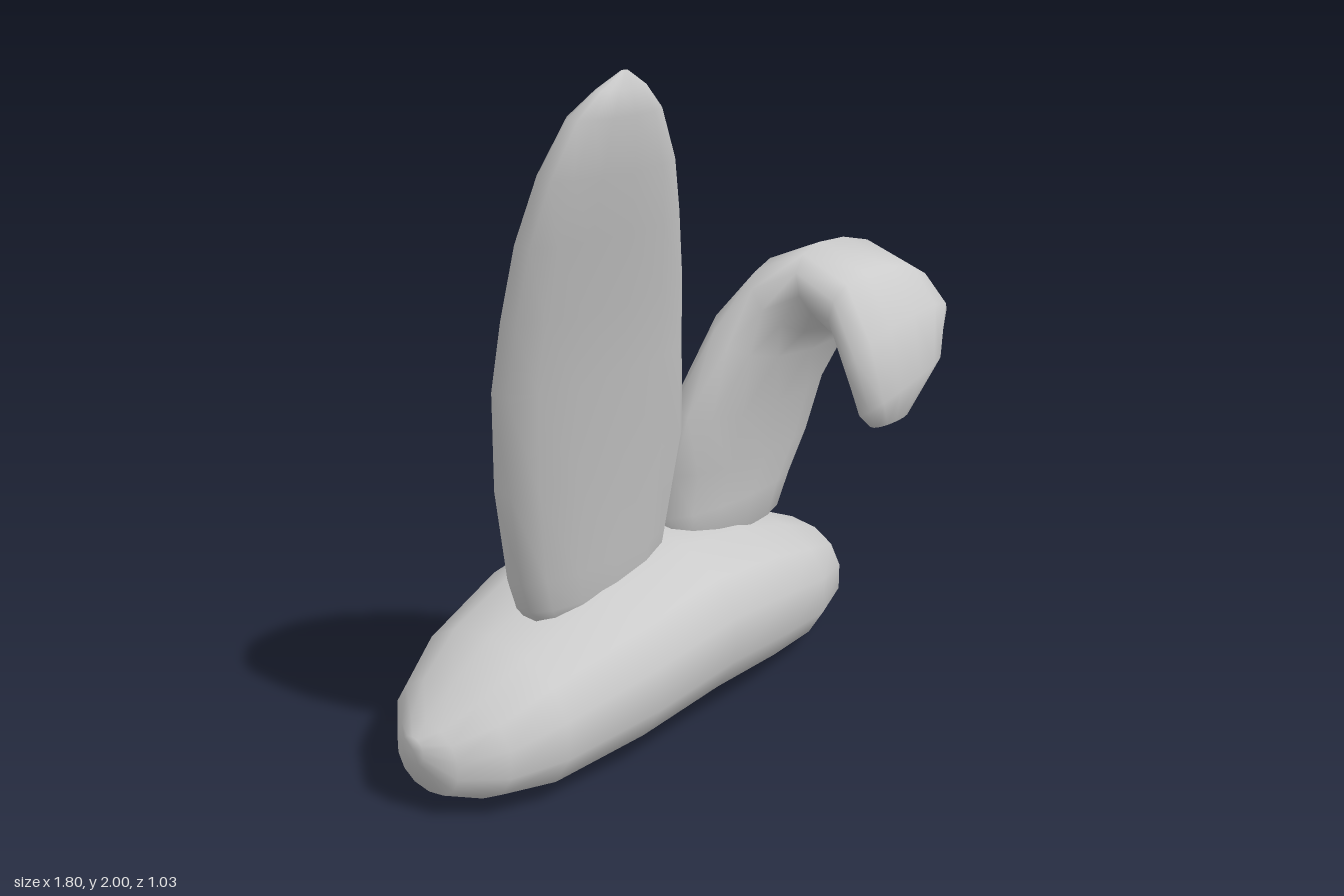
import * as THREE from 'three';

const SIDES = 14;

// Superellipse sections joined into a closed, smooth skin.
// Each section has a centre c and two half-axes u and v, with u x v pointing along the loft.
function loft(name, sections, power = 0.9) {
  const pos = [], index = [];
  const soften = (t) => Math.sign(t) * Math.pow(Math.abs(t), power);
  for (const { c, u, v } of sections) {
    for (let j = 0; j < SIDES; j++) {
      const a = (j / SIDES) * Math.PI * 2;
      const p = c.clone().addScaledVector(u, soften(Math.cos(a))).addScaledVector(v, soften(Math.sin(a)));
      pos.push(p.x, p.y, p.z);
    }
  }
  const n = sections.length;
  for (let i = 0; i < n - 1; i++) {
    for (let j = 0; j < SIDES; j++) {
      const k = (j + 1) % SIDES;
      const a = i * SIDES + j, b = i * SIDES + k;
      index.push(a, b, a + SIDES, b, b + SIDES, a + SIDES);
    }
  }
  // Cap both ends with a fan
  const first = n * SIDES, last = first + 1, top = (n - 1) * SIDES;
  for (const s of [sections[0], sections[n - 1]]) pos.push(s.c.x, s.c.y, s.c.z);
  for (let j = 0; j < SIDES; j++) {
    const k = (j + 1) % SIDES;
    index.push(first, k, j, last, top + j, top + k);
  }
  const geo = new THREE.BufferGeometry();
  geo.setAttribute('position', new THREE.Float32BufferAttribute(pos, 3));
  geo.setIndex(index);
  geo.computeVertexNormals();
  const mesh = new THREE.Mesh(geo, new THREE.MeshStandardMaterial({ color: 0xcccccc }));
  mesh.name = name;
  return mesh;
}

const V = (x, y, z) => new THREE.Vector3(x, y, z);

export function createModel() {
  const group = new THREE.Group();
  group.name = 'earsOnPad';

  // Cushion lying along x: x, bottom, top, back, front
  const cushion = [
    [-0.9, 0.17, 0.25, -0.2, -0.12],
    [-0.86, 0.07, 0.28, -0.27, -0.03],
    [-0.77, 0.035, 0.35, -0.37, 0.08],
    [-0.62, 0.005, 0.44, -0.44, 0.15],
    [-0.32, 0.025, 0.53, -0.505, 0.22],
    [0, 0.045, 0.575, -0.52, 0.235],
    [0.3, 0.03, 0.53, -0.505, 0.215],
    [0.55, 0.01, 0.45, -0.455, 0.16],
    [0.78, 0.025, 0.35, -0.34, 0.06],
    [0.85, 0.08, 0.25, -0.27, 0],
    [0.9, 0.14, 0.18, -0.23, -0.17],
  ].map(([x, y0, y1, z0, z1]) => ({
    c: V(x, (y0 + y1) / 2, (z0 + z1) / 2),
    u: V(0, (y1 - y0) / 2, 0),
    v: V(0, 0, (z1 - z0) / 2),
  }));
  group.add(loft('cushion', cushion));

  // Upright ear leaning forward: y, left x, right x, centre z, half thickness
  const upright = [
    [0.42, -0.48, -0.03, -0.1, 0.07],
    [0.5, -0.54, 0.02, -0.1, 0.1],
    [0.6, -0.58, 0.035, -0.09, 0.105],
    [0.9, -0.675, 0.04, -0.03, 0.11],
    [1.2, -0.74, -0.05, 0.04, 0.11],
    [1.4, -0.76, -0.12, 0.1, 0.105],
    [1.6, -0.77, -0.21, 0.165, 0.1],
    [1.76, -0.755, -0.3, 0.225, 0.09],
    [1.9, -0.71, -0.41, 0.28, 0.065],
    [1.96, -0.64, -0.48, 0.3, 0.035],
    [2.0, -0.57, -0.55, 0.31, 0.005],
  ].map(([y, x0, x1, z, t]) => ({
    c: V((x0 + x1) / 2, y, z),
    u: V(0, 0, t),
    v: V((x1 - x0) / 2, 0, 0),
  }));
  group.add(loft('uprightEar', upright));

  // Folded ear: outer z, outer y, inner z, inner y, left x, right x, sideways slope
  const folded = [
    [-0.15, 0.45, -0.05, 0.45, 0.15, 0.5, 0],
    [-0.2, 0.49, 0, 0.49, 0.07, 0.6, 0],
    [-0.21, 0.57, 0.015, 0.6, 0.05, 0.65, 0],
    [-0.2, 0.73, 0.04, 0.73, 0.04, 0.715, 0],
    [-0.12, 0.97, 0.08, 0.9, 0.04, 0.73, 0],
    [-0.05, 1.21, 0.14, 1.06, 0.14, 0.78, -0.01],
    [0.05, 1.34, 0.19, 1.12, 0.21, 0.79, -0.03],
    [0.2, 1.4, 0.25, 1.145, 0.26, 0.79, -0.04],
    [0.37, 1.34, 0.31, 1.11, 0.26, 0.78, -0.03],
    [0.47, 1.22, 0.36, 1.05, 0.25, 0.75, 0.02],
    [0.515, 1.05, 0.39, 0.97, 0.28, 0.65, 0.04],
    [0.46, 0.91, 0.41, 0.91, 0.35, 0.53, 0],
  ].map(([oz, oy, iz, iy, x0, x1, slope]) => ({
    c: V((x0 + x1) / 2, (oy + iy) / 2, (oz + iz) / 2),
    u: V(0, (iy - oy) / 2, (iz - oz) / 2),
    v: V((x1 - x0) / 2, slope, 0),
  }));
  group.add(loft('foldedEar', folded));

  return group;
}
